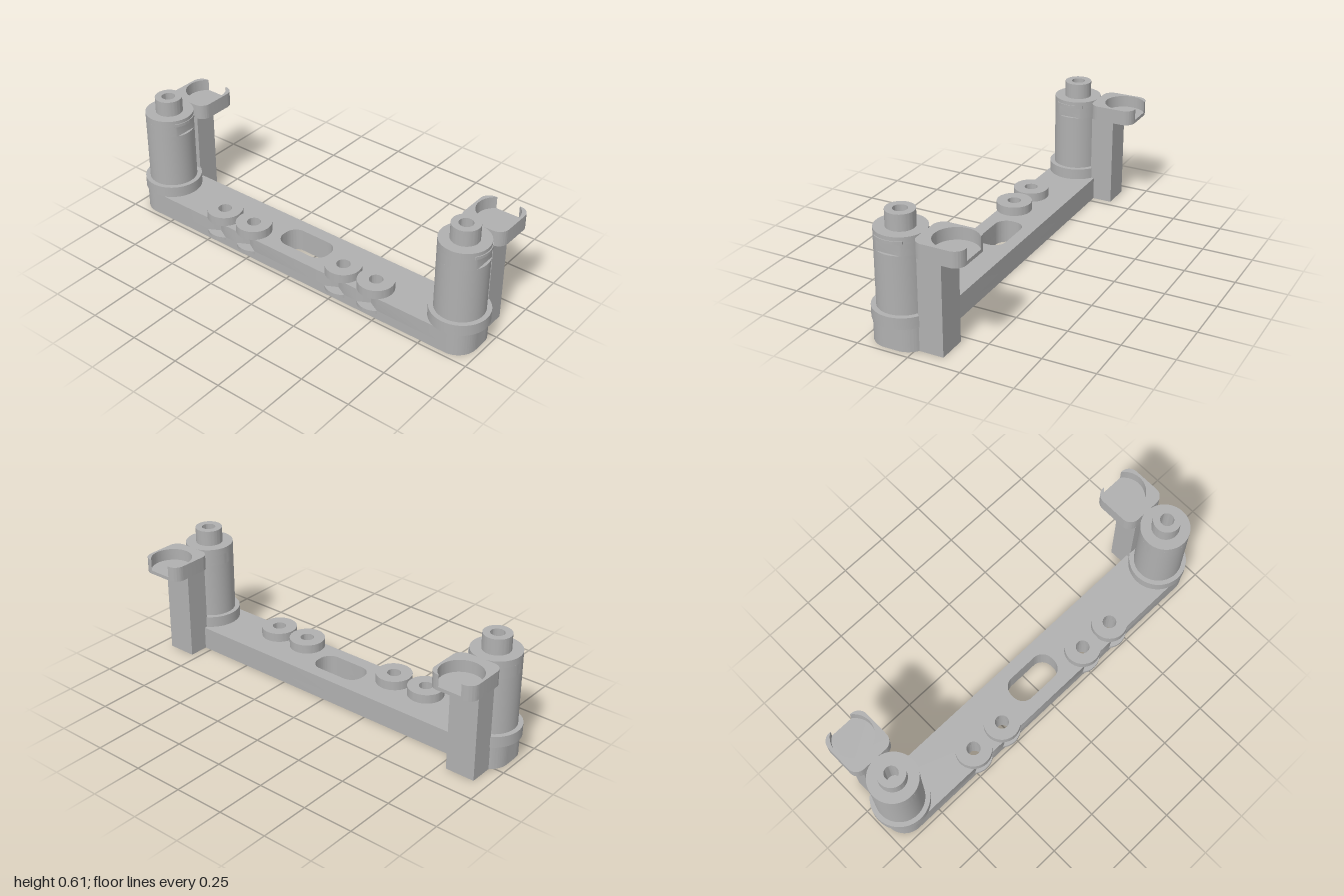
import * as THREE from 'three';
import { toCreasedNormals } from 'three/addons/utils/BufferGeometryUtils.js';

const grey = new THREE.MeshStandardMaterial({ color: 0xb0b0b0 });
grey.name = 'grey';

const POST_X = -0.0975, POST_Z = 0.86, BOSS_X = -0.163;
const BOSS_Z = [0.455, 0.27, -0.27, -0.455];
const HOLE = 0.033;

function add(parent, name, geometry, x = 0, y = 0, z = 0) {
  const mesh = new THREE.Mesh(toCreasedNormals(geometry, 0.6), grey);
  mesh.name = name;
  mesh.position.set(x, y, z);
  parent.add(mesh);
  return mesh;
}

// Upright prism from a plan outline (shape y = -z)
function prism(shape, y0, y1) {
  const g = new THREE.ExtrudeGeometry(shape, { depth: y1 - y0, bevelEnabled: false, curveSegments: 32 });
  return g.rotateX(-Math.PI / 2).translate(0, y0, 0);
}

function circle(x, y, r) {
  const p = new THREE.Path();
  p.absarc(x, y, r, 0, Math.PI * 2, true);
  return p;
}

function lathe(points) {
  return new THREE.LatheGeometry(points.map(([r, y]) => new THREE.Vector2(r, y)), 64);
}

// Rounded rectangle, with optional V notches along its low-x side
function roundedPlan(x0, x1, h, r, notches = []) {
  const s = new THREE.Shape();
  s.moveTo(x0 + r, -h);
  s.lineTo(x1 - r, -h);
  s.absarc(x1 - r, -h + r, r, -Math.PI / 2, 0);
  s.lineTo(x1, h - r);
  s.absarc(x1 - r, h - r, r, 0, Math.PI / 2);
  s.lineTo(x0 + r, h);
  s.absarc(x0 + r, h - r, r, Math.PI / 2, Math.PI);
  for (const n of notches) {
    s.lineTo(x0, n + 0.055);
    s.lineTo(x0 + 0.03, n);
    s.lineTo(x0, n - 0.055);
  }
  s.lineTo(x0, -h + r);
  s.absarc(x0 + r, -h + r, r, Math.PI, Math.PI * 1.5);
  return s;
}

// Solid arc-fronted lip facing +z before turning
function lip(radius, halfWidth, height) {
  const a = Math.asin(halfWidth / radius);
  const s = new THREE.Shape();
  s.absarc(0, 0, radius, -Math.PI / 2 - a, -Math.PI / 2 + a);
  s.closePath();
  const back = radius * Math.cos(a) - 0.02;
  s.lineTo(halfWidth, -back);
  s.lineTo(-halfWidth, -back);
  return prism(s, 0, height);
}

function barLayer(notches) {
  const s = roundedPlan(-0.228, 0.036, 0.975, 0.1, notches);
  for (const z of BOSS_Z) s.holes.push(circle(BOSS_X, z, HOLE));
  s.holes.push(new THREE.Path(roundedPlan(-0.165, -0.027, 0.135, 0.06).getPoints(16)));
  return s;
}

function createPost() {
  const post = new THREE.Group();
  post.name = 'post';

  // Collar and lower barrel
  add(post, 'collar', lathe([[0, 0.115], [0.14, 0.115], [0.14, 0.17], [0, 0.17]]));
  add(post, 'lowerBarrel', lathe([[0, 0.16], [0.117, 0.16], [0.117, 0.447], [0, 0.447]]));

  // Barrel section with a V window facing the front
  const a = Math.asin(0.055 / 0.117);
  const notched = new THREE.Shape();
  notched.moveTo(0, -0.048);
  notched.absarc(0, 0, 0.117, -Math.PI / 2 + a, Math.PI * 1.5 - a);
  notched.holes.push(circle(0, 0, HOLE));
  add(post, 'windowBarrel', prism(notched, 0.447, 0.5));
  add(post, 'windowLip', lip(0.121, 0.069, 0.015), 0, 0.5, 0);

  // Barrel top and hollow pin
  add(post, 'pin', lathe([
    [HOLE, 0.5], [0.117, 0.5], [0.117, 0.533], [0.066, 0.533],
    [0.066, 0.61], [HOLE, 0.61], [HOLE, 0.5],
  ]));

  // Square column beside the barrel
  add(post, 'column', new THREE.BoxGeometry(0.116, 0.458, 0.146), 0.076 - POST_X, 0.229, 0);

  // Open cup on the side arm
  const cup = new THREE.Group();
  cup.name = 'cupArm';
  cup.position.x = -POST_X;
  post.add(cup);
  const x0 = 0.018, x1 = 0.247, h = 0.113, r = 0.05, cx = 0.165, cr = 0.1;
  add(cup, 'cupFloor', prism(roundedPlan(x0, x1, h, r), 0.458, 0.475));
  const b = Math.acos((x1 - cx) / cr);
  const wall = new THREE.Shape();
  wall.moveTo(x1, cr * Math.sin(b));
  wall.lineTo(x1, h - r);
  wall.absarc(x1 - r, h - r, r, 0, Math.PI / 2);
  wall.absarc(x0 + r, h - r, r, Math.PI / 2, Math.PI);
  wall.absarc(x0 + r, -h + r, r, Math.PI, Math.PI * 1.5);
  wall.absarc(x1 - r, -h + r, r, Math.PI * 1.5, Math.PI * 2);
  wall.absarc(cx, 0, cr, -b, b, true);
  add(cup, 'cupWall', prism(wall, 0.475, 0.533));
  return post;
}

export function createModel() {
  const model = new THREE.Group();
  model.name = 'bracket';

  // Base bar, notched along its outer side in the upper layer
  add(model, 'barBottom', prism(barLayer([]), 0, 0.047));
  add(model, 'barTop', prism(barLayer(BOSS_Z), 0.047, 0.115));

  // Ring bosses, each with a lip under its notch
  for (const z of BOSS_Z) {
    add(model, 'boss', lathe([
      [HOLE, 0.115], [0.0875, 0.115], [0.0875, 0.16], [HOLE, 0.16], [HOLE, 0.115],
    ]), BOSS_X, 0, z);
    const ledge = add(model, 'bossLip', lip(0.087, 0.069, 0.017), BOSS_X, 0.03, z);
    ledge.rotation.y = -Math.PI / 2;
  }

  // End posts
  for (const z of [POST_Z, -POST_Z]) {
    const post = createPost();
    post.position.set(POST_X, 0, z);
    model.add(post);
  }
  return model;
}
